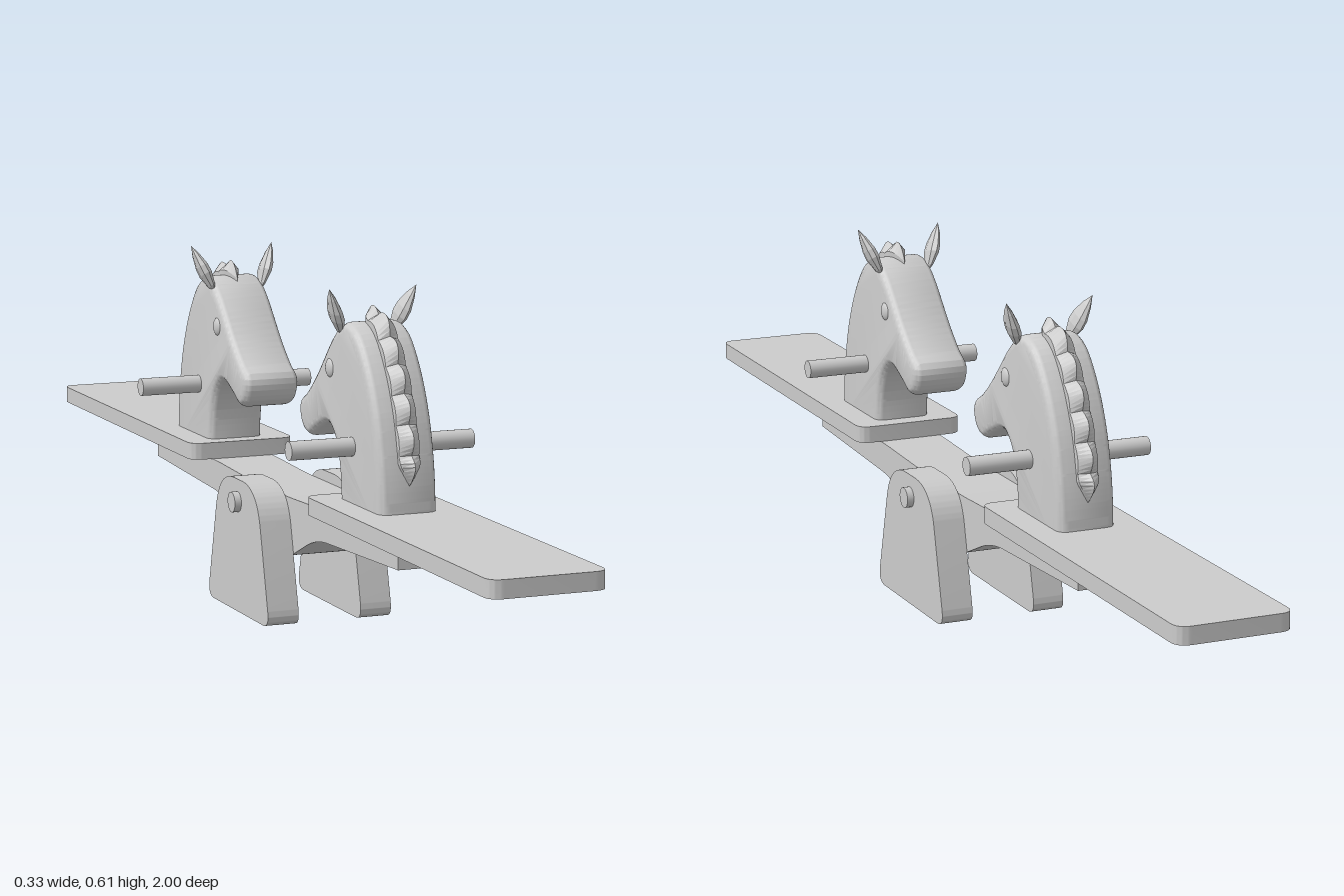
import * as THREE from 'three';
import { toCreasedNormals } from 'three/addons/utils/BufferGeometryUtils.js';

const grey = new THREE.MeshStandardMaterial({ color: 0xcccccc });
const faceted = new THREE.MeshStandardMaterial({ color: 0xcccccc, flatShading: true });
const vecs = (pts) => pts.map(([a, b]) => new THREE.Vector2(a, b));

function add(parent, name, geometry, material = grey) {
  const mesh = new THREE.Mesh(geometry, material);
  mesh.name = name;
  parent.add(mesh);
  return mesh;
}

// Extrudes a (z, y) side profile across x, centred on x = 0
function sideExtrude(shape, width, bevel = 0) {
  const depth = width - 2 * bevel;
  const g = new THREE.ExtrudeGeometry(shape, {
    depth, curveSegments: 40, bevelEnabled: bevel > 0, bevelSize: bevel,
    bevelThickness: bevel, bevelOffset: -bevel, bevelSegments: 5,
  });
  g.translate(0, 0, -depth / 2).rotateY(-Math.PI / 2);
  return toCreasedNormals(g, 0.6);
}

// Polygon whose corners are rounded by the radius given as third value
function roundedShape(pts) {
  const shape = new THREE.Shape();
  pts.forEach(([x, y, r = 0], i) => {
    const c = new THREE.Vector2(x, y);
    const prev = new THREE.Vector2(...pts.at(i - 1).slice(0, 2));
    const next = new THREE.Vector2(...pts[(i + 1) % pts.length].slice(0, 2));
    const a = prev.sub(c).setLength(r).add(c);
    const b = next.sub(c).setLength(r).add(c);
    if (i === 0) shape.moveTo(a.x, a.y);
    else shape.lineTo(a.x, a.y);
    if (r > 0) shape.quadraticCurveTo(x, y, b.x, b.y);
  });
  shape.closePath();
  return shape;
}

function rod(parent, name, radius, length, y, z) {
  const g = new THREE.CylinderGeometry(radius, radius, length, 24).rotateZ(Math.PI / 2);
  add(parent, name, g).position.set(0, y, z);
}

// Scalloped ridge following the back of the neck
function maneGeometry() {
  const curve = new THREE.SplineCurve(vecs([
    [0.478, 0.30], [0.468, 0.36], [0.45, 0.42], [0.42, 0.48], [0.38, 0.53], [0.34, 0.552], [0.295, 0.548],
  ]));
  const n = 56, lobes = 7, pos = [], index = [];
  for (let i = 0; i <= n; i++) {
    const t = i / n, p = curve.getPointAt(t), d = curve.getTangentAt(t);
    const out = new THREE.Vector2(d.y, -d.x);
    const end = Math.min(1, t / 0.1, (1 - t) / 0.12);
    const w = 0.018 * end;
    const h = (0.016 + 0.016 * Math.abs(Math.sin(t * lobes * Math.PI))) * Math.sqrt(end);
    const base = p.clone().addScaledVector(out, -0.006);
    const low = p.clone().addScaledVector(out, h * 0.35);
    const top = p.clone().addScaledVector(out, h);
    pos.push(-w, base.y, base.x, -w, low.y, low.x, 0, top.y, top.x, w, low.y, low.x, w, base.y, base.x);
    if (i < n) for (let k = 0; k < 4; k++) {
      const a = i * 5 + k, b = a + 5;
      index.push(a, a + 1, b + 1, a, b + 1, b);
    }
  }
  const g = new THREE.BufferGeometry();
  g.setAttribute('position', new THREE.Float32BufferAttribute(pos, 3));
  g.setIndex(index);
  g.computeVertexNormals();
  return g;
}

function horseSeat() {
  const half = new THREE.Group();

  // Plank with rounded corners
  const plank = roundedShape([[-0.1, 0.27, 0.025], [0.1, 0.27, 0.025], [0.1, 1, 0.025], [-0.1, 1, 0.025]]);
  const plankGeo = new THREE.ExtrudeGeometry(plank, { depth: 0.03, bevelEnabled: false });
  plankGeo.rotateX(Math.PI / 2).translate(0, 0.255, 0);
  add(half, 'seatPlank', toCreasedNormals(plankGeo, 0.6));

  // Neck and head, facing the pivot
  const head = new THREE.Shape();
  head.moveTo(0.305, 0.228);
  head.lineTo(0.482, 0.228);
  head.splineThru(vecs([
    [0.478, 0.30], [0.468, 0.36], [0.45, 0.42], [0.42, 0.48], [0.38, 0.53], [0.34, 0.551], [0.305, 0.548],
    [0.265, 0.522], [0.2, 0.455], [0.155, 0.416], [0.127, 0.398], [0.121, 0.375], [0.135, 0.347],
    [0.163, 0.337], [0.195, 0.352], [0.24, 0.37], [0.265, 0.362], [0.287, 0.335], [0.3, 0.29], [0.305, 0.228],
  ]));
  add(half, 'horseHead', sideExtrude(head, 0.104, 0.018));
  add(half, 'mane', maneGeometry(), faceted);
  rod(half, 'handle', 0.016, 0.33, 0.35, 0.36);

  const earProfile = vecs([[0, 0], [0.012, 0.012], [0.022, 0.036], [0.021, 0.052], [0.012, 0.075], [0, 0.094]]);
  for (const side of [-1, 1]) {
    const eye = add(half, 'eye', new THREE.SphereGeometry(0.017, 20, 12));
    eye.scale.x = 0.5;
    eye.position.set(side * 0.049, 0.468, 0.264);

    // Leaf-shaped ear leaning out and back
    const ear = add(half, 'ear', new THREE.LatheGeometry(earProfile, 8).scale(0.5, 1, 1), faceted);
    ear.position.set(side * 0.044, 0.527, 0.295);
    const lean = new THREE.Vector3(side * 0.036, 0.086, 0.032).normalize();
    ear.quaternion.setFromUnitVectors(new THREE.Vector3(0, 1, 0), lean);
  }
  return half;
}

export function createModel() {
  const model = new THREE.Group();
  model.name = 'horseSeesaw';

  // Central beam, deeper at the pivot
  const beam = roundedShape([
    [-0.565, 0.225], [-0.565, 0.182], [-0.22, 0.168, 0.05], [-0.1, 0.115, 0.02],
    [0.1, 0.115, 0.02], [0.22, 0.168, 0.05], [0.565, 0.182], [0.565, 0.225],
    [0.26, 0.225, 0.05], [0.1, 0.219, 0.03], [-0.1, 0.219, 0.03], [-0.26, 0.225, 0.05],
  ]);
  add(model, 'beam', sideExtrude(beam, 0.116));

  // Tapered side supports
  const support = roundedShape([
    [-0.148, 0.002, 0.03], [0.148, 0.002, 0.03], [0.09, 0.238, 0.07], [-0.09, 0.238, 0.07],
  ]);
  for (const side of [-1, 1]) {
    add(model, 'support', sideExtrude(support, 0.057)).position.x = side * 0.0865;
  }
  rod(model, 'pivotBolt', 0.018, 0.254, 0.198, 0);

  // Two facing horse seats
  for (const [name, turn] of [['frontSeat', 0], ['backSeat', Math.PI]]) {
    const seat = horseSeat();
    seat.name = name;
    seat.rotation.y = turn;
    model.add(seat);
  }
  return model;
}
